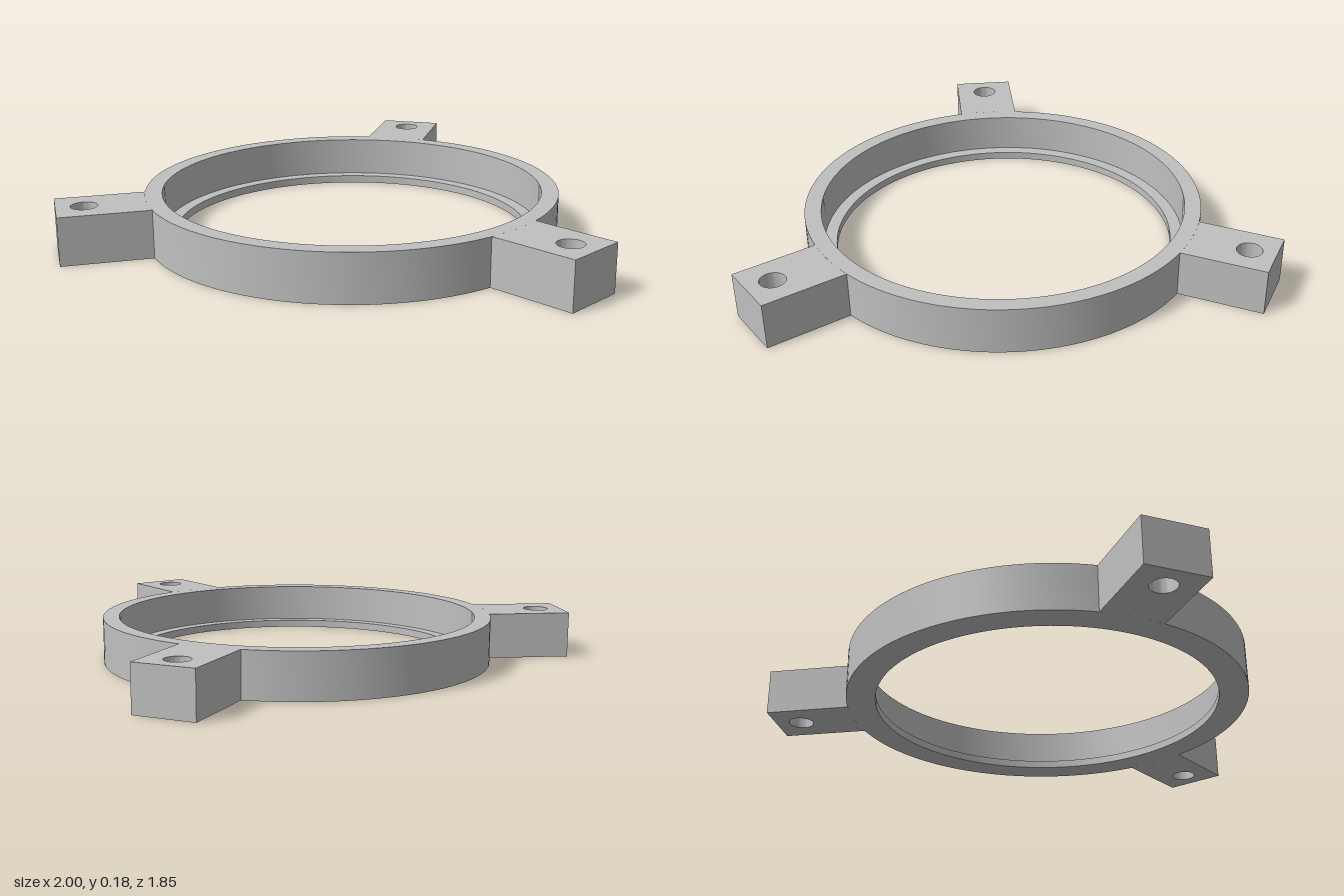
import * as THREE from 'three';
import { toCreasedNormals } from 'three/addons/utils/BufferGeometryUtils.js';

const HEIGHT = 0.178;
const OUTER = 0.768;      // outer ring radius
const SEAT = 0.705;       // bore above the lip
const LIP = 0.657;        // bore through the lip
const LIP_HEIGHT = 0.03;
const TAB_END = 1.085;    // ring centre to tab end
const TAB_HALF = 0.12;
const HOLE_AT = 0.985;
const HOLE_RADIUS = 0.048;

// Closed, stepped cross-section turned around the axis
function ringGeometry() {
  const profile = [
    [LIP, 0], [OUTER, 0], [OUTER, HEIGHT], [SEAT, HEIGHT],
    [SEAT, LIP_HEIGHT], [LIP, LIP_HEIGHT], [LIP, 0],
  ].map(([r, y]) => new THREE.Vector2(r, y));
  return toCreasedNormals(new THREE.LatheGeometry(profile, 120), 0.6);
}

// Square-ended tab with a bolt hole, its root curved to meet the ring
function tabGeometry() {
  const half = Math.asin(TAB_HALF / OUTER);
  const shape = new THREE.Shape();
  shape.moveTo(TAB_HALF, OUTER * Math.cos(half));
  shape.lineTo(TAB_HALF, TAB_END);
  shape.lineTo(-TAB_HALF, TAB_END);
  shape.lineTo(-TAB_HALF, OUTER * Math.cos(half));
  shape.absarc(0, 0, OUTER, Math.PI / 2 + half, Math.PI / 2 - half, true);
  const hole = new THREE.Path();
  hole.absarc(0, HOLE_AT, HOLE_RADIUS, 0, Math.PI * 2, true);
  shape.holes.push(hole);
  const geometry = new THREE.ExtrudeGeometry(shape, {
    depth: HEIGHT, bevelEnabled: false, curveSegments: 20,
  });
  geometry.rotateX(-Math.PI / 2);
  return toCreasedNormals(geometry, 0.6);
}

export function createModel() {
  const metal = new THREE.MeshStandardMaterial({ color: 0xc0c0c0 });
  metal.name = 'greyMetal';

  const model = new THREE.Group();
  model.name = 'mountingRing';

  const body = new THREE.Group();
  body.name = 'ringWithTabs';
  body.position.z = 0.155;
  model.add(body);

  const ring = new THREE.Mesh(ringGeometry(), metal);
  ring.name = 'steppedRing';
  body.add(ring);

  // Three tabs, one to the back and two toward the front
  const geometry = tabGeometry();
  ['backTab', 'frontRightTab', 'frontLeftTab'].forEach((name, i) => {
    const tab = new THREE.Mesh(geometry, metal);
    tab.name = name;
    tab.rotation.y = (i * Math.PI * 2) / 3;
    body.add(tab);
  });

  return model;
}
